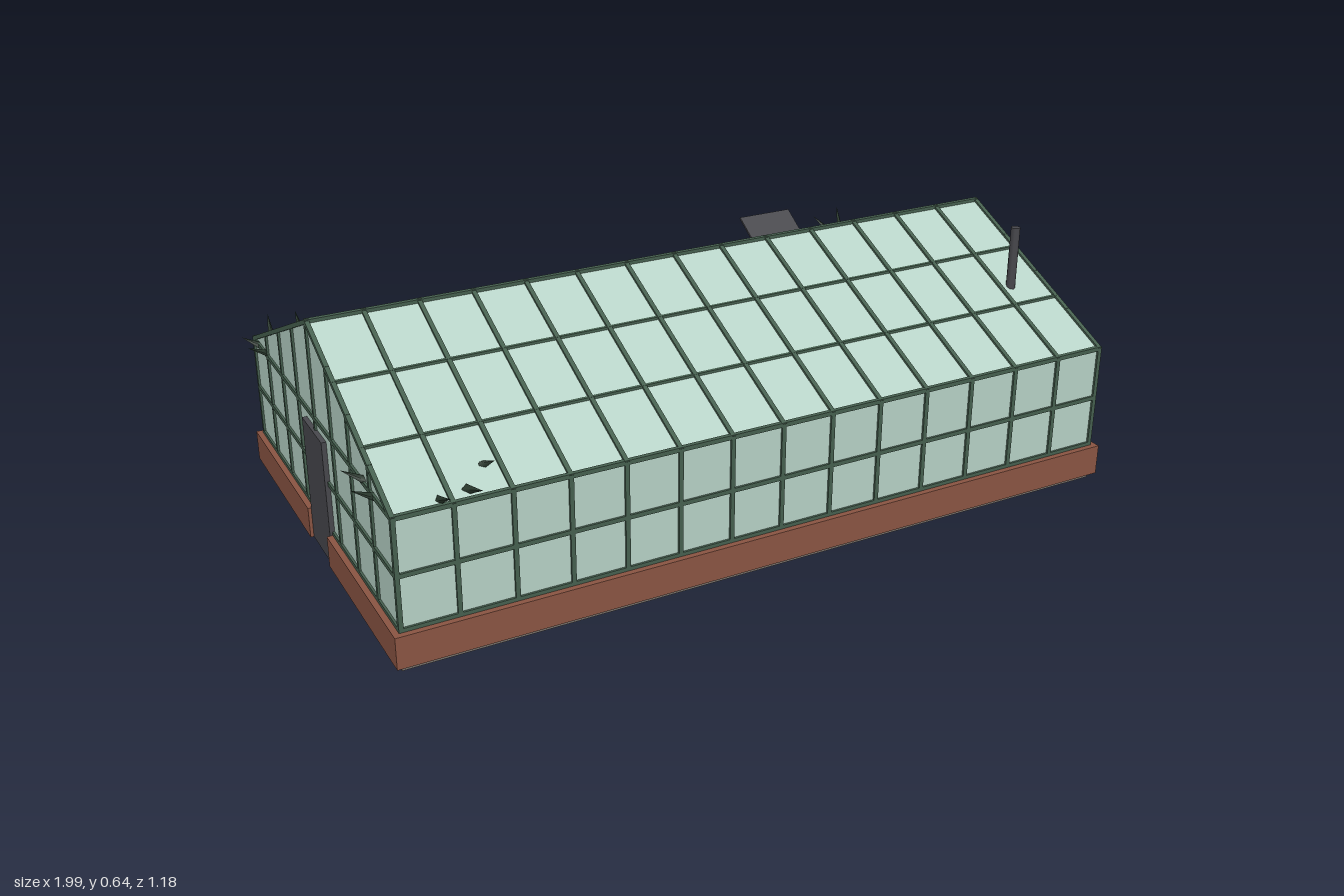
import * as THREE from 'three';

const mat = (name, color) => Object.assign(new THREE.MeshStandardMaterial({ color }), { name });

export function createModel() {
  const glass = mat('pale green glass', 0xb8d4c8);
  const frame = mat('green frame', 0x46604f);
  const brick = mat('brick', 0x8b5543);
  const concrete = mat('concrete', 0x76706a);
  const iron = mat('dark iron', 0x48484d);
  const leafy = mat('dark leaf', 0x2a3a2e);

  const model = new THREE.Group();
  model.name = 'greenhouse';
  const CZ = 0.01, X = 0.945, D = 0.54, BASE = 0.095, EAVE = 0.37, RIDGE = 0.612;
  const roofY = (z) => RIDGE - (RIDGE - EAVE) * Math.abs(z - CZ) / D;

  const add = (name, geo, material, parent = model) => {
    const m = new THREE.Mesh(geo, material);
    m.name = name;
    parent.add(m);
    return m;
  };
  const box = (name, material, x0, x1, y0, y1, z0, z1) => {
    const m = add(name, new THREE.BoxGeometry(x1 - x0, y1 - y0, z1 - z0), material);
    m.position.set((x0 + x1) / 2, (y0 + y1) / 2, (z0 + z1) / 2);
    return m;
  };

  // Floor slab and brick plinth, with a gap for the door
  box('floorSlab', concrete, -0.95, 0.95, 0, 0.02, -0.535, 0.555);
  box('plinthFront', brick, -0.965, 0.965, 0.015, BASE, 0.53, 0.57);
  box('plinthBack', brick, -0.965, 0.965, 0.015, BASE, -0.55, -0.51);
  box('plinthRight', brick, 0.925, 0.965, 0.015, BASE, -0.51, 0.53);
  box('plinthDoorSideBack', brick, -0.965, -0.925, 0.015, BASE, -0.51, -0.07);
  box('plinthDoorSideFront', brick, -0.965, -0.925, 0.015, BASE, 0.085, 0.53);

  // Glazed body: a gabled profile along x
  const gable = new THREE.Shape([
    [-D, BASE], [D, BASE], [D, EAVE], [0, RIDGE], [-D, EAVE],
  ].map(([a, b]) => new THREE.Vector2(a, b)));
  const body = new THREE.ExtrudeGeometry(gable, { depth: 2 * X, bevelEnabled: false });
  body.translate(0, 0, -X).rotateY(Math.PI / 2).translate(0, 0, CZ);
  add('glazing', body, glass);

  // Glazing bars
  const bars = new THREE.Group();
  bars.name = 'glazingBars';
  model.add(bars);
  const bar = (name, a, b, w = 0.011) => {
    const p = new THREE.Vector3(...a), q = new THREE.Vector3(...b);
    const m = add(name, new THREE.BoxGeometry(w, w, p.distanceTo(q) + w * 0.8), frame, bars);
    m.position.copy(p).lerp(q, 0.5);
    m.lookAt(q);
  };
  const BAYS = 14, GABLE_BAYS = 8;
  for (const s of [-1, 1]) {
    const z = CZ + s * D;
    for (let i = 0; i <= BAYS; i++) {
      const x = -X + (2 * X * i) / BAYS;
      bar('wallPost', [x, BASE, z], [x, EAVE, z]);
      bar('rafter', [x, EAVE, z], [x, RIDGE, CZ]);
    }
    for (const y of [BASE + 0.004, 0.232, EAVE]) {
      bar('wallRail', [-X, y, z], [X, y, z]);
      bar('gableRail', [s * X, y, CZ - D], [s * X, y, CZ + D]);
    }
    for (const t of [1 / 3, 2 / 3]) {
      const pz = CZ + s * D * t;
      bar('purlin', [-X, roofY(pz), pz], [X, roofY(pz), pz], 0.009);
    }
    for (let i = 1; i < GABLE_BAYS; i++) {
      const pz = CZ - D + (2 * D * i) / GABLE_BAYS;
      bar('gablePost', [s * X, BASE, pz], [s * X, roofY(pz), pz]);
    }
  }
  bar('ridgeBar', [-X, RIDGE, CZ], [X, RIDGE, CZ], 0.012);

  // Door in the end wall
  box('door', iron, -0.957, -0.938, 0.015, 0.34, -0.07, 0.085);

  // Stove pipe through the front roof slope
  const pipe = add('stovePipe', new THREE.CylinderGeometry(0.012, 0.012, 0.17, 8), iron);
  pipe.position.set(0.842, 0.555, 0.31);

  // Open vent flap on the back roof slope
  const vent = box('roofVent', iron, 0.49, 0.655, 0.449, 0.455, -0.505, -0.403);
  vent.rotation.x = Math.atan2(0.055, 0.088);

  // Leaf tips poking through the glass: base point, then tip
  const leaves = [
    [-0.93, 0.36, -0.47, -0.985, 0.39, -0.50], [-0.93, 0.37, -0.40, -0.995, 0.40, -0.40],
    [-0.91, 0.36, -0.49, -0.90, 0.42, -0.56], [-0.83, 0.37, -0.50, -0.82, 0.40, -0.59],
    [-0.72, 0.38, -0.51, -0.70, 0.39, -0.53], [0.81, 0.38, -0.48, 0.77, 0.43, -0.535],
    [0.85, 0.37, -0.50, 0.87, 0.44, -0.56], [0.94, 0.36, -0.46, 0.995, 0.39, -0.48],
    [0.93, 0.375, -0.35, 0.99, 0.37, -0.37], [0.55, 0.37, -0.51, 0.55, 0.392, -0.535],
    [0.61, 0.37, -0.51, 0.61, 0.395, -0.535], [-0.93, 0.37, 0.38, -0.99, 0.40, 0.35],
    [-0.93, 0.36, 0.44, -0.995, 0.39, 0.43], [-0.835, 0.37, 0.52, -0.83, 0.405, 0.59],
    [-0.77, 0.38, 0.52, -0.75, 0.395, 0.57], [-0.715, 0.40, 0.47, -0.69, 0.415, 0.49],
  ];
  for (let [ax, ay, az, bx, by, bz] of leaves) {
    const a = new THREE.Vector3(ax, ay, az), b = new THREE.Vector3(bx, by, bz);
    const leaf = add('leafTip', new THREE.ConeGeometry(0.012, a.distanceTo(b), 4), leafy);
    leaf.position.copy(a).lerp(b, 0.5);
    leaf.quaternion.setFromUnitVectors(new THREE.Vector3(0, 1, 0), b.sub(a).normalize());
  }

  return model;
}
